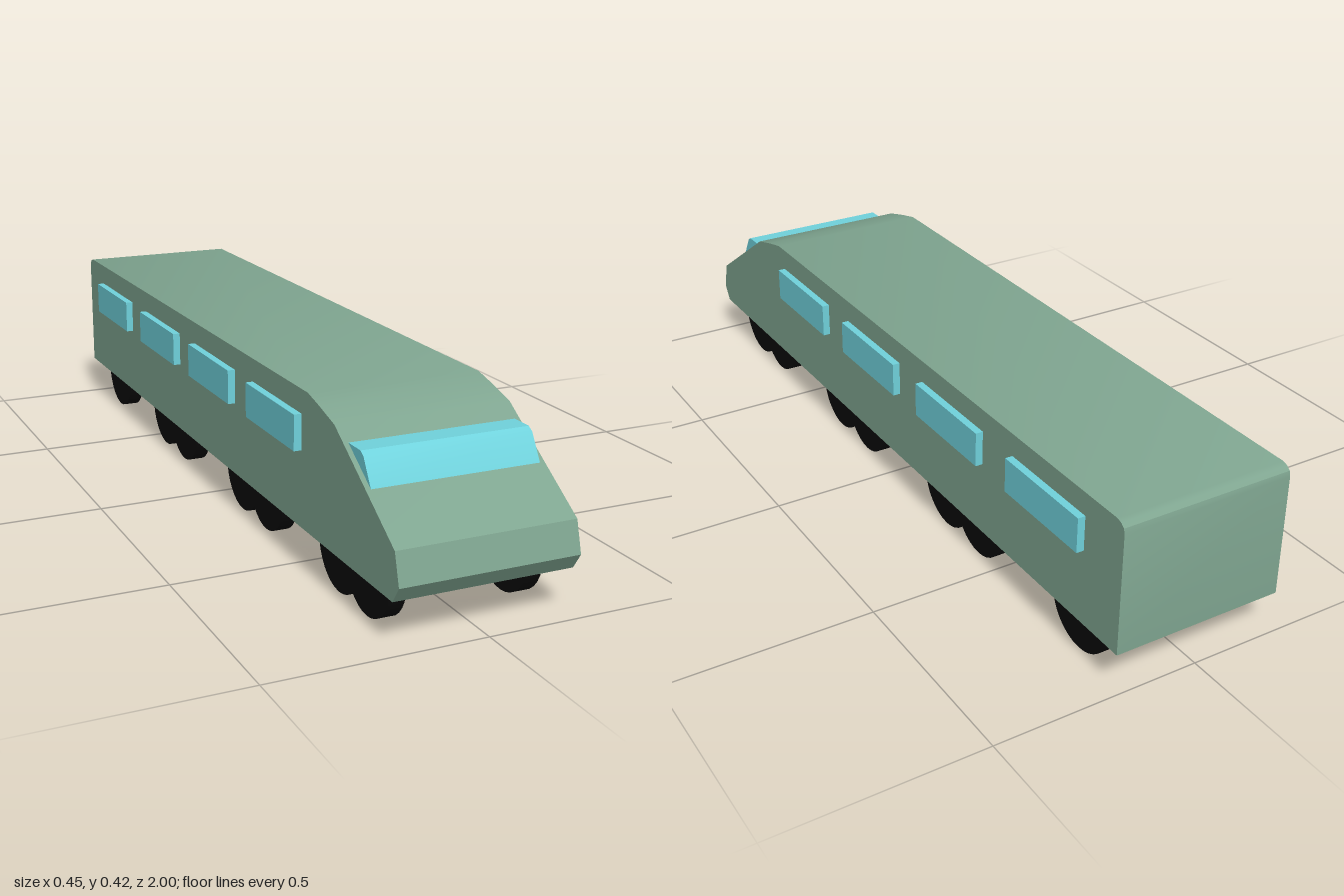
import * as THREE from 'three';
import { toCreasedNormals } from 'three/addons/utils/BufferGeometryUtils.js';

const bodyMat = new THREE.MeshStandardMaterial({ color: 0x7fa590 });
const glassMat = new THREE.MeshStandardMaterial({ color: 0x70d2dc });
const wheelMat = new THREE.MeshStandardMaterial({ color: 0x0a0a0a });

// Extrudes a side profile of [z, y] points across the width, centred on x = 0
function profileAcross(points, width) {
  const shape = new THREE.Shape(points.map(([z, y]) => new THREE.Vector2(-z, y)));
  const geo = new THREE.ExtrudeGeometry(shape, { depth: width, bevelEnabled: false });
  geo.translate(0, 0, -width / 2);
  geo.rotateY(Math.PI / 2);
  return toCreasedNormals(geo, 0.5);
}

export function createModel() {
  const train = new THREE.Group();
  train.name = 'train';

  const add = (name, geo, mat, x = 0, y = 0, z = 0) => {
    const mesh = new THREE.Mesh(geo, mat);
    mesh.name = name;
    mesh.position.set(x, y, z);
    train.add(mesh);
  };

  // Carriage body with sloped nose and slightly rounded rear roof edge
  add('body', profileAcross([
    [0.975, 0.104], [1, 0.142], [0.98, 0.213], [0.71, 0.388], [0.64, 0.407], [0.58, 0.421],
    [-0.975, 0.419], [-0.988, 0.415], [-0.997, 0.407], [-1, 0.395], [-1, 0.104],
  ], 0.418), bodyMat);

  // Windscreen wedge standing out of the nose slope
  add('windscreen', profileAcross([
    [0.855, 0.293], [0.82, 0.352], [0.806, 0.361], [0.745, 0.361], [0.745, 0.293],
  ], 0.395), glassMat);

  // Side windows, one box per side
  const windowGeo = new THREE.BoxGeometry(0.03, 0.083, 0.27);
  for (const z of [0.413, 0.033, -0.347, -0.737])
    for (const side of [-1, 1])
      add('sideWindow', windowGeo, glassMat, side * 0.212, 0.324, z);

  // Wheels: three overlapping pairs and a single one at the rear
  const wheelGeo = new THREE.CylinderGeometry(0.1, 0.1, 0.038, 32);
  wheelGeo.rotateZ(Math.PI / 2);
  for (const z of [0.81, 0.68, 0.285, 0.14, -0.275, -0.42, -0.83])
    for (const side of [-1, 1])
      add('wheel', wheelGeo, wheelMat, side * 0.161, 0.1, z);

  return train;
}
